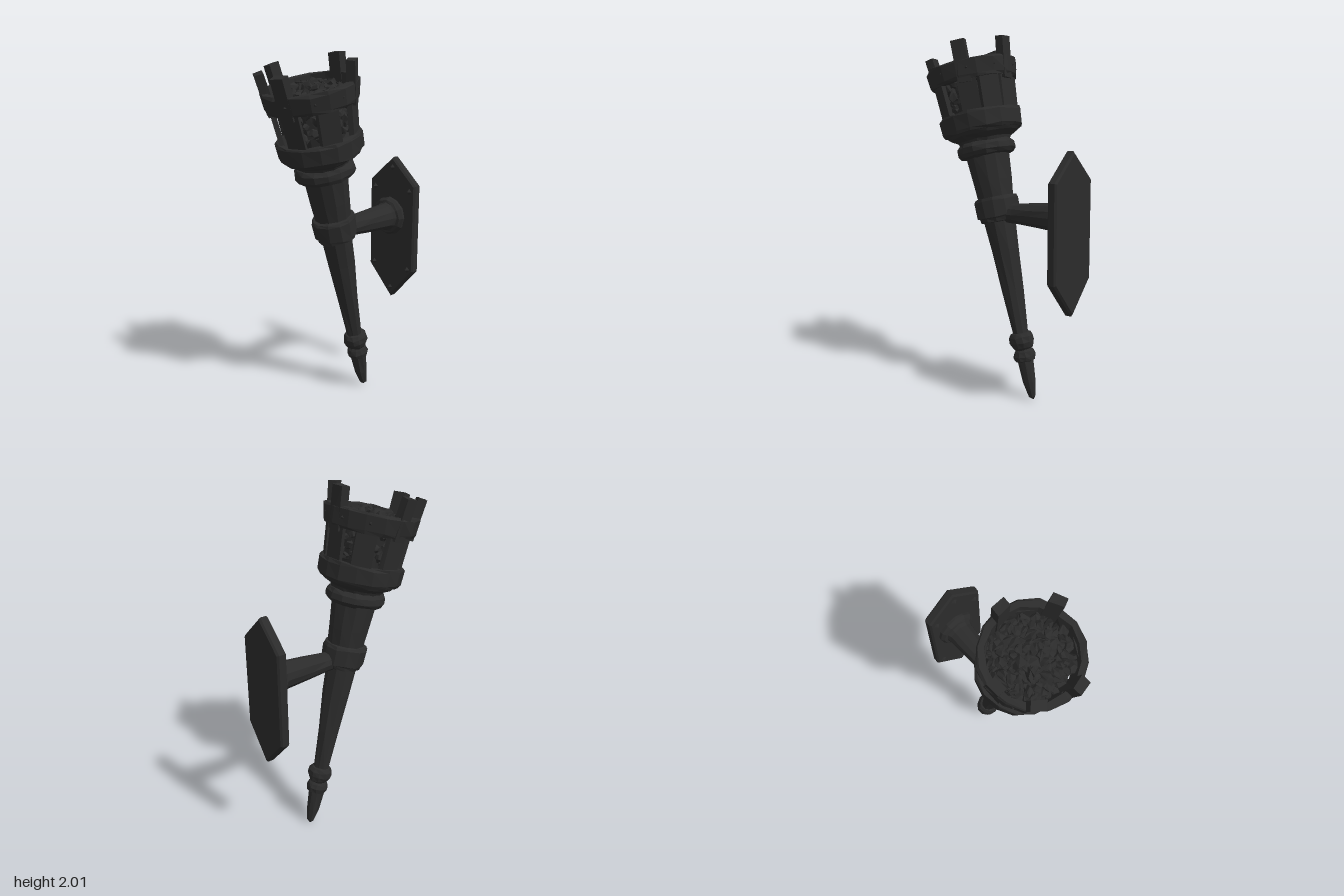
import * as THREE from 'three';

const iron = new THREE.MeshStandardMaterial({ color: 0x2b2b2b });
iron.name = 'dark iron';

// Seeded random numbers for the coals
let seed = 7;
const rand = () => (seed = (seed * 16807) % 2147483647) / 2147483647;

// Hand-forged look: shift vertices by a hash of their position, then facet
function rough(geo, amount) {
  const p = geo.attributes.position;
  const hash = (a, b, c) => {
    const r = v => Math.round(v * 1000);
    const h = Math.sin(r(a) * 12.9898 + r(b) * 78.233 + r(c) * 37.719) * 43758.5453;
    return (h - Math.floor(h) - 0.5) * 2 * amount;
  };
  for (let i = 0; i < p.count; i++) {
    const x = p.getX(i), y = p.getY(i), z = p.getZ(i);
    p.setXYZ(i, x + hash(x, y, z), y + hash(y, z, x), z + hash(z, x, y));
  }
  const flat = geo.index ? geo.toNonIndexed() : geo;
  flat.computeVertexNormals();
  return flat;
}

function add(parent, name, geo, amount = 0) {
  const mesh = new THREE.Mesh(rough(geo, amount), iron);
  mesh.name = name;
  parent.add(mesh);
  return mesh;
}

const lathe = (points, sides) =>
  new THREE.LatheGeometry(points.map(([r, y]) => new THREE.Vector2(r, y)), sides);

// Hollow hoop, closed all round
const hoop = (y0, y1, r0, r1, thick) => lathe([
  [r0, y0], [r0 + 0.008, y0 + 0.015], [r1 + 0.004, y1 - 0.012], [r1 - 0.004, y1],
  [r1 - thick, y1], [r0 - thick, y0], [r0, y0]], 16);

function createTorch() {
  const torch = new THREE.Group();
  torch.name = 'torch';

  // Pointed tip, two knobs and the tapering shaft
  add(torch, 'tip', lathe([[0, 0], [0.02, 0.015], [0.036, 0.1], [0.046, 0.23]], 9), 0.003);
  add(torch, 'lowerKnob', lathe([[0.035, 0.215], [0.058, 0.225], [0.064, 0.25],
    [0.056, 0.275], [0.042, 0.29]], 11), 0.003);
  add(torch, 'upperKnob', lathe([[0.042, 0.285], [0.06, 0.3], [0.072, 0.33],
    [0.07, 0.36], [0.056, 0.38], [0.035, 0.385]], 11), 0.003);
  add(torch, 'shaft', lathe([[0.045, 0.37], [0.06, 0.62], [0.078, 0.86], [0.09, 1.06]], 10), 0.003);
  add(torch, 'collar', lathe([[0.085, 1.02], [0.107, 1.025], [0.112, 1.045], [0.122, 1.05],
    [0.127, 1.14], [0.118, 1.155], [0.1, 1.16]], 12), 0.004);
  add(torch, 'neck', lathe([[0.1, 1.14], [0.112, 1.25], [0.127, 1.41]], 12), 0.003);
  add(torch, 'neckRing', lathe([[0.12, 1.39], [0.152, 1.398], [0.168, 1.42], [0.166, 1.45],
    [0.15, 1.468], [0.138, 1.475]], 14), 0.004);

  // Bowl under the basket
  add(torch, 'bowl', lathe([[0.138, 1.46], [0.15, 1.485], [0.195, 1.51], [0.215, 1.535],
    [0.215, 1.6], [0, 1.61]], 16), 0.003);
  add(torch, 'lowerBand', hoop(1.525, 1.63, 0.22, 0.232, 0.035), 0.005);
  add(torch, 'upperBand', hoop(1.8, 1.905, 0.24, 0.254, 0.035), 0.005);

  // Basket slats; the tall ones end in posts above the rim
  const slats = [[-86, 1], [-38, 1], [13, 1], [65, 0], [118, 1], [150, 0], [182, 1], [228, 0]];
  for (const [deg, tall] of slats) {
    const holder = new THREE.Group();
    holder.name = tall ? 'tallSlat' : 'shortSlat';
    holder.rotation.y = THREE.MathUtils.degToRad(deg);
    torch.add(holder);
    const plank = add(holder, 'plank', new THREE.BoxGeometry(0.105, 0.32, 0.025), 0.006);
    plank.position.set(0, 1.71, 0.205);
    plank.rotation.x = 0.1;
    if (tall) {
      const post = add(holder, 'post', new THREE.BoxGeometry(0.074, 0.23, 0.05), 0.006);
      post.position.set(0, 1.895, 0.229);
      post.rotation.x = 0.12;
    }
  }

  // Rivets around the upper band
  for (let i = 0; i < 10; i++) {
    const a = (i + 0.4) / 10 * Math.PI * 2;
    const rivet = add(torch, 'rivet', new THREE.ConeGeometry(0.014, 0.016, 4));
    rivet.position.set(Math.sin(a) * 0.25, 1.855, Math.cos(a) * 0.25);
    rivet.quaternion.setFromUnitVectors(new THREE.Vector3(0, 1, 0),
      new THREE.Vector3(Math.sin(a), 0, Math.cos(a)));
  }

  // Heap of coals around a solid core
  const coals = new THREE.Group();
  coals.name = 'coals';
  torch.add(coals);
  add(coals, 'coalCore', lathe([[0.14, 1.6], [0.165, 1.83], [0.1, 1.875], [0, 1.885]], 12), 0.01);
  const lump = (r, a, y, size) => {
    const coal = add(coals, 'coal', new THREE.DodecahedronGeometry(size), size * 0.25);
    coal.position.set(Math.sin(a) * r, y, Math.cos(a) * r);
    coal.rotation.set(rand() * 6, rand() * 6, rand() * 6);
    coal.scale.set(0.7 + rand() * 0.7, 0.5 + rand() * 0.4, 0.7 + rand() * 0.6);
  };
  for (let i = 0; i < 110; i++) {
    const r = 0.195 * Math.sqrt((i + 0.5) / 110);
    lump(r, i * 2.39996, 1.895 - r * 0.3 + (rand() - 0.5) * 0.035, 0.022 + rand() * 0.016);
  }
  for (let i = 0; i < 60; i++) {
    const t = i / 60;
    lump(0.15 + t * 0.02, i * 2.39996, 1.64 + t * 0.18, 0.022 + rand() * 0.012);
  }

  torch.position.set(0.01, 0, -0.217);
  torch.rotation.x = 0.234;
  return torch;
}

function createBracket() {
  const bracket = new THREE.Group();
  bracket.name = 'wallBracket';

  // Pointed six-sided wall plate with a bevelled front edge
  const outline = [[0.03, 0.53], [0.2, 0.72], [0.2, 1.245], [0.03, 1.4], [-0.14, 1.25], [-0.14, 0.71]];
  const inset = 0.01;
  const shape = new THREE.Shape(outline.map(([x, y]) =>
    new THREE.Vector2(x + (x > 0.1 ? -inset : x < 0 ? inset : 0),
      y + (y > 1 ? -inset : inset) * (x === 0.03 ? 1.3 : 0.5))));
  const plate = add(bracket, 'wallPlate', new THREE.ExtrudeGeometry(shape, {
    depth: 0.035, bevelEnabled: true, bevelThickness: 0.01, bevelSize: inset, bevelSegments: 1 }));
  plate.position.z = -0.475;

  // Nails near the corners
  for (const [x, y] of [[-0.1, 0.73], [0.16, 0.73], [-0.1, 1.21], [0.16, 1.21], [0.03, 0.59], [0.03, 1.34]]) {
    const nail = add(bracket, 'nail', new THREE.ConeGeometry(0.02, 0.018, 4));
    nail.rotation.x = Math.PI / 2;
    nail.position.set(x, y, -0.422);
  }

  // Arm with a flared foot, running forward into the collar
  const arm = add(bracket, 'arm', lathe([[0.115, -0.44], [0.115, -0.415], [0.1, -0.395],
    [0.085, -0.39], [0.076, -0.37], [0.066, -0.22], [0.057, -0.1], [0.055, 0]], 12), 0.003);
  arm.rotation.x = Math.PI / 2;
  arm.position.set(0.015, 1.045, 0);
  return bracket;
}

export function createModel() {
  const model = new THREE.Group();
  model.name = 'wallTorch';
  model.add(createTorch(), createBracket());
  return model;
}
